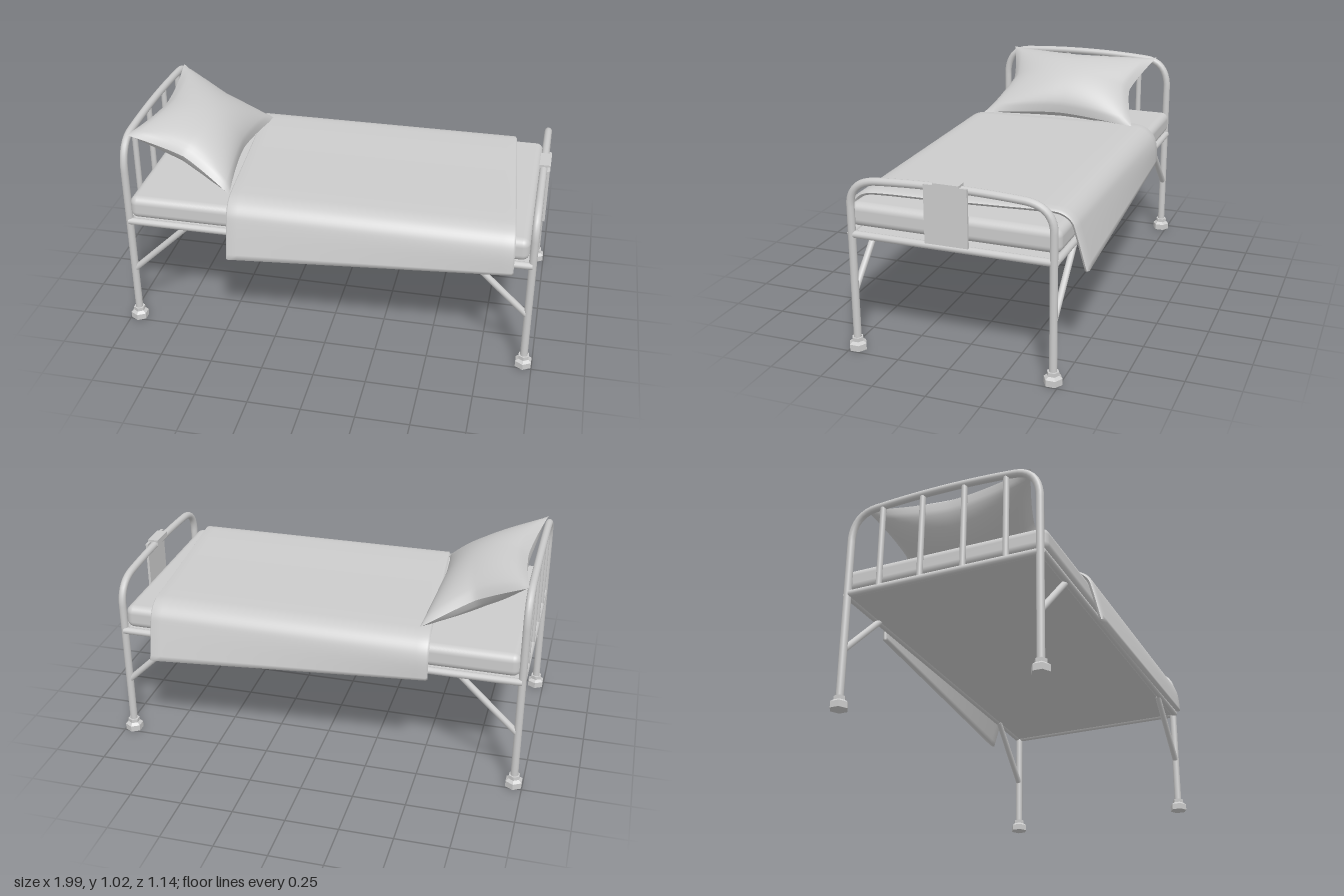
import * as THREE from 'three';
import { RoundedBoxGeometry } from 'three/addons/geometries/RoundedBoxGeometry.js';

const material = new THREE.MeshStandardMaterial({ color: 0xcccccc });
const soft = new THREE.MeshStandardMaterial({ color: 0xcccccc, side: THREE.DoubleSide });
const lerp = THREE.MathUtils.lerp;
const V = (x, y, z) => new THREE.Vector3(x, y, z);

function part(parent, name, geometry, x = 0, y = 0, z = 0, mat = material) {
  const mesh = new THREE.Mesh(geometry, mat);
  mesh.name = name;
  mesh.position.set(x, y, z);
  parent.add(mesh);
  return mesh;
}

// Straight round bar between two points
function bar(parent, name, a, b, radius) {
  const mesh = part(parent, name, new THREE.CylinderGeometry(radius, radius, a.distanceTo(b), 12));
  mesh.position.copy(a).lerp(b, 0.5);
  mesh.quaternion.setFromUnitVectors(V(0, 1, 0), b.clone().sub(a).normalize());
  return mesh;
}

// Bent tube frame: two legs, round shoulders and a slightly bowed top
function archGeometry(shoulderY, sideY, topY, sideZ) {
  const z = 0.47;
  const path = new THREE.CurvePath();
  path.add(new THREE.LineCurve3(V(0, 0.04, z), V(0, shoulderY, z)));
  path.add(new THREE.QuadraticBezierCurve3(V(0, shoulderY, z), V(0, sideY - 0.01, z - 0.01), V(0, sideY, sideZ)));
  path.add(new THREE.QuadraticBezierCurve3(V(0, sideY, sideZ), V(0, 2 * topY - sideY, 0), V(0, sideY, -sideZ)));
  path.add(new THREE.QuadraticBezierCurve3(V(0, sideY, -sideZ), V(0, sideY - 0.01, 0.01 - z), V(0, shoulderY, -z)));
  path.add(new THREE.LineCurve3(V(0, shoulderY, -z), V(0, 0.04, -z)));
  return new THREE.TubeGeometry(path, 110, 0.018, 12);
}

// Closed cloth skin: each station is a ring made of an upper run and a lower run
function clothGeometry(stations, across, point) {
  const ring = 2 * (across + 1), positions = [], index = [];
  for (let i = 0; i <= stations; i++) {
    for (let k = 0; k < ring; k++) {
      const upper = k <= across;
      const t = (upper ? k : ring - 1 - k) / across;
      positions.push(...point(i / stations, t, upper ? 1 : -1).toArray());
    }
  }
  for (let i = 0; i < stations; i++) {
    for (let k = 0; k < ring; k++) {
      const next = (k + 1) % ring;
      const a = i * ring + k, b = a + ring, c = i * ring + next, d = c + ring;
      index.push(a, c, b, b, c, d);
    }
  }
  const geometry = new THREE.BufferGeometry();
  geometry.setAttribute('position', new THREE.Float32BufferAttribute(positions, 3));
  geometry.setIndex(index);
  geometry.computeVertexNormals();
  return geometry;
}

// Blanket draped askew, with hems that slope opposite ways on the two sides
function blanketGeometry() {
  const N = 30;
  const P = (z, y) => new THREE.Vector2(z, y);
  return clothGeometry(N, 60, (u, t, side) => {
    const end = u === 0 || u === 1;
    const s = end ? u : lerp(0.006, 0.994, (u * N - 1) / (N - 2));
    const back = P(-lerp(0.52, 0.563, s), lerp(0.54, 0.47, s));
    const front = P(lerp(0.557, 0.525, s), lerp(0.465, 0.54, s));
    const section = new THREE.SplineCurve([
      back, P(-0.518, 0.63), P(-0.495, 0.69), P(-0.445, 0.725), P(-0.36, 0.732), P(-0.18, 0.731), P(0, 0.73),
      P(0.18, 0.731), P(0.36, 0.732), P(0.445, 0.725), P(0.495, 0.69), P(0.518, 0.63), front,
    ]);
    const p = section.getPoint(t), tangent = section.getTangent(t);
    const h = end ? 0 : 0.011 * side;
    const skew = (p.x + 0.53) / 1.07;
    const x = lerp(lerp(-0.54, 0.80, s), lerp(-0.46, 0.88, s), skew);
    return V(x, p.y + h * tangent.x, p.x - h * tangent.y);
  });
}

// Pillow with four pointed corners and drawn-in edges
function pillowGeometry() {
  return clothGeometry(28, 36, (s, t, side) => {
    const u = 2 * s - 1, v = 2 * t - 1;
    const x = 0.275 * u * (1 - 0.2 * (1 - Math.abs(v) ** 1.5));
    const z = 0.415 * v * (1 - 0.2 * (1 - Math.abs(u) ** 1.3));
    const y = 0.118 * side * Math.max(0, (1 - u * u) * (1 - v * v)) ** 0.58;
    return V(x, y, z);
  });
}

export function createModel() {
  const bed = new THREE.Group();
  bed.name = 'hospitalBed';
  const headX = -0.96, footX = 0.96;

  // Head and foot frames
  part(bed, 'headFrame', archGeometry(0.85, 0.988, 1.002, 0.35), headX);
  part(bed, 'footFrame', archGeometry(0.71, 0.822, 0.834, 0.34), footX);
  for (const x of [headX, footX]) {
    bar(bed, 'crossBar', V(x, 0.563, -0.46), V(x, 0.563, 0.46), 0.017);
  }
  for (const z of [-0.31, -0.105, 0.105, 0.31]) {
    bar(bed, 'headSpindle', V(headX, 0.563, z), V(headX, 0.993, z), 0.014);
  }

  // Hexagonal feet, side rails and diagonal braces
  const footProfile = [[0, 0], [0.043, 0], [0.043, 0.03], [0.028, 0.042], [0.028, 0.06], [0, 0.06]]
    .map(([r, y]) => new THREE.Vector2(r, y));
  const footMaterial = material.clone();
  footMaterial.flatShading = true;
  for (const z of [-0.47, 0.47]) {
    for (const x of [headX, footX]) {
      part(bed, 'rubberFoot', new THREE.LatheGeometry(footProfile, 6), x, 0, z, footMaterial);
    }
    bar(bed, 'sideRail', V(headX, 0.565, z * 1.015), V(footX, 0.565, z * 1.015), 0.017);
    bar(bed, 'headBrace', V(-0.955, 0.29, z), V(-0.675, 0.56, z), 0.015);
    bar(bed, 'footBrace', V(0.955, 0.29, z), V(0.675, 0.56, z), 0.015);
  }

  // Base panel and mattress
  part(bed, 'basePanel', new THREE.BoxGeometry(1.92, 0.014, 0.975), 0, 0.563, 0);
  part(bed, 'mattress', new RoundedBoxGeometry(1.89, 0.112, 0.985, 5, 0.036), -0.003, 0.644, 0);

  // Bedding
  part(bed, 'blanket', blanketGeometry(), 0, 0, 0, soft);
  const pillow = part(bed, 'pillow', pillowGeometry(), -0.71, 0.868, 0.008, soft);
  pillow.rotation.z = -0.5;

  // Chart board hooked over the foot frame
  const chart = new THREE.Group();
  chart.name = 'chartBoard';
  bed.add(chart);
  part(chart, 'board', new THREE.BoxGeometry(0.012, 0.268, 0.2), 0.984, 0.716, 0.004);
  part(chart, 'clip', new THREE.BoxGeometry(0.052, 0.03, 0.12), 0.966, 0.845, 0);

  return bed;
}
